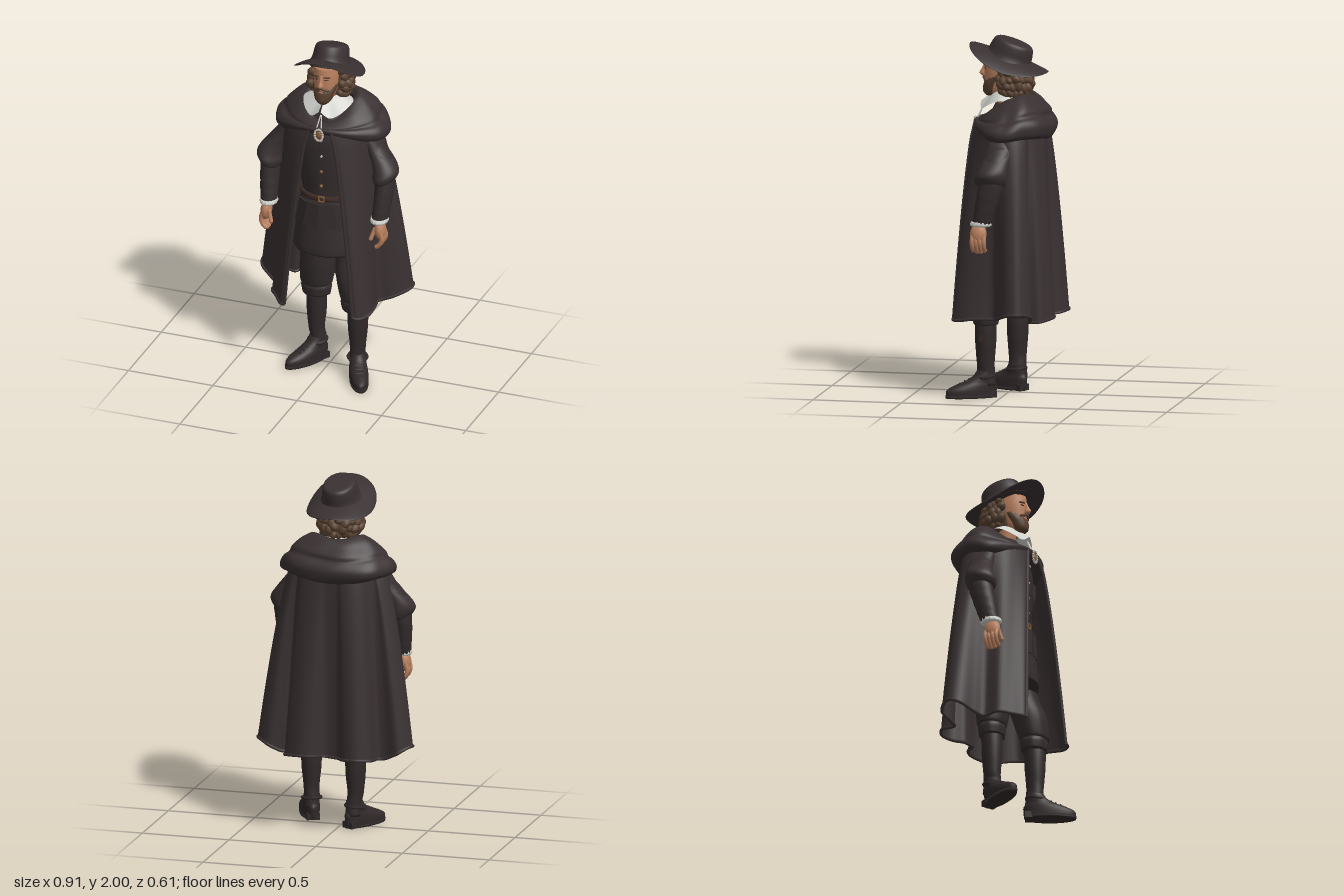
import * as THREE from 'three';
import { mergeVertices } from 'three/addons/utils/BufferGeometryUtils.js';

const make = (name, color) => {
  const m = new THREE.MeshStandardMaterial({ color });
  m.name = name;
  return m;
};

export function createModel() {
  const root = new THREE.Group();
  const cloakMat = make('darkWool', 0x393031);
  cloakMat.side = THREE.DoubleSide;
  const suit = make('darkSuit', 0x352d2d);
  const leather = make('bootLeather', 0x312929);
  const skin = make('skin', 0xb9805e);
  const hairMat = make('brownHair', 0x584130);
  const linen = make('whiteLinen', 0xd2d2cd);
  linen.side = THREE.DoubleSide;
  const beltMat = make('beltLeather', 0x3a2a24);
  const bronze = make('bronze', 0x8a6038);
  const silver = make('silver', 0xb5aea4);

  const add = (name, geo, mat, p = [0, 0, 0], r = [0, 0, 0], s = [1, 1, 1], parent = root) => {
    const m = new THREE.Mesh(geo, mat);
    m.name = name;
    m.position.set(...p);
    m.rotation.set(...r);
    m.scale.set(...s);
    parent.add(m);
    return m;
  };

  // Smooth surface over a (u, v) grid; u runs around, v runs upward
  const grid = (fn, nu, nv) => {
    const pos = [], idx = [];
    for (let j = 0; j <= nv; j++) for (let i = 0; i <= nu; i++) pos.push(...fn(i / nu, j / nv));
    for (let j = 0; j < nv; j++) for (let i = 0; i < nu; i++) {
      const a = j * (nu + 1) + i, b = a + 1, c = a + nu + 1, d = c + 1;
      idx.push(a, b, d, a, d, c);
    }
    let g = new THREE.BufferGeometry();
    g.setAttribute('position', new THREE.Float32BufferAttribute(pos, 3));
    g.setIndex(idx);
    g = mergeVertices(g, 1e-5);
    g.computeVertexNormals();
    return g;
  };

  // Closed loft through horizontal ellipses [y, x, z, rx, rz], listed bottom to top
  const loft = (rows, nu = 28, nv = rows.length * 4, wobble = () => 0) => {
    const spline = (f) => new THREE.CatmullRomCurve3(rows.map(f), false, 'catmullrom');
    const mid = spline((r) => new THREE.Vector3(r[1], r[0], r[2]));
    const rad = spline((r) => new THREE.Vector3(r[3], r[4], 0));
    return grid((u, v) => {
      const t = THREE.MathUtils.clamp((v * (nv + 2) - 1) / nv, 0, 1);
      const c = mid.getPoint(t), q = rad.getPoint(t), a = u * Math.PI * 2;
      const k = v === 0 || v === 1 ? 0 : 1 + wobble(a, t);
      return [c.x + q.x * k * Math.sin(a), c.y, c.z + q.y * k * Math.cos(a)];
    }, nu, nv + 2);
  };
  const ball = (r) => new THREE.SphereGeometry(r, 14, 10);

  // Cloak: hem outline blended up into a shoulder ellipse
  const hem = [[.235, .262], [.265, .258], [.305, .19], [.305, .09], [.30, .02], [.37, -.02], [.435, -.08], [.435, -.15],
    [.37, -.2], [.30, -.18], [.265, -.17], [.255, -.235], [.18, -.283], [.09, -.27], [.03, -.215], [-.04, -.22],
    [-.09, -.283], [-.17, -.302], [-.24, -.265], [-.258, -.175], [-.31, -.17], [-.38, -.19], [-.442, -.13],
    [-.42, -.06], [-.35, -.01], [-.295, .03], [-.30, .11], [-.25, .17], [-.205, .228], [-.18, .232]];
  const hemCurve = new THREE.CatmullRomCurve3(hem.map(([x, z]) => new THREE.Vector3(x, 0, z)));
  const topCurve = new THREE.CatmullRomCurve3(hem.map(([x, z]) => {
    let a = Math.atan2(x / .45, z / .28);
    a = Math.sign(a) * (Math.PI - (Math.PI - Math.abs(a)) * 1.09);
    return new THREE.Vector3(.262 * Math.sin(a), 0, -.015 + .195 * Math.cos(a));
  }));
  const cloakPoint = (u, v) => {
    const h = hemCurve.getPoint(u), t = topCurve.getPoint(u);
    const s = 1 - v, k = Math.pow(s, .68), edge = Math.sin(Math.PI * u);
    const ripple = 1 + .012 * Math.sin(u * 90) * s * edge;
    const y0 = .445 + .06 * Math.max(0, Math.abs(h.x) - .3) / .14 - .008 * Math.sin(u * 40);
    return [(t.x + (h.x - t.x) * k) * ripple, y0 + (1.53 - y0) * v, (t.z + (h.z - t.z) * k) * ripple];
  };
  add('cloak', grid(cloakPoint, 150, 26), cloakMat);
  const border = (name, f, n) => {
    const pts = Array.from({ length: n + 1 }, (_, i) => new THREE.Vector3(...f(i / n)));
    add(name, new THREE.TubeGeometry(new THREE.CatmullRomCurve3(pts), n * 2, .009, 6), cloakMat);
  };
  border('cloakHem', (t) => cloakPoint(t, 0), 90);
  border('cloakLeftEdge', (t) => cloakPoint(0, t), 12);
  border('cloakRightEdge', (t) => cloakPoint(1, t), 12);

  // Shoulder cape: sloping folds, high at the back and dipping to a V at the front
  const cape = new THREE.CatmullRomCurve3([[.22, 1.475], [.285, 1.45], [.322, 1.468], [.328, 1.503], [.305, 1.54],
    [.276, 1.56], [.264, 1.585], [.228, 1.622], [.185, 1.655], [.14, 1.672], [.11, 1.645]]
    .map(([r, y]) => new THREE.Vector3(r, y, 0)));
  add('shoulderCape', grid((u, v) => {
    const p = cape.getPoint(v), a = u * Math.PI * 2, f = Math.max(0, Math.cos(a)) ** 2, b = Math.max(0, -Math.cos(a));
    const fold = 1 + (.022 * Math.sin(5 * a + v * 5) + .012 * Math.sin(9 * a - v * 7)) * (1 - f)
      + b * (.015 * Math.sin(v * 24 + a * 2) + .05 * Math.sin(Math.PI * v));
    const y = p.y - f * .155 * Math.max(0, v - .25) / .75 + .05 * f * f * (1 - v) + .01 * Math.sin(3 * a + 1) * (1 - f)
      + b * (.022 * Math.sin(Math.PI * v) - .015 * (1 - v));
    return [.008 + p.x * fold * Math.sin(a), y, -.038 + p.x * fold * .67 * Math.cos(a) + .07 * f * v * v];
  }, 84, 40), cloakMat);

  // Doublet, skirt and belt
  add('doublet', loft([[1.04, 0, .01, .16, .13], [1.1, 0, .01, .152, .125], [1.25, 0, .01, .175, .138],
    [1.42, 0, 0, .2, .145], [1.53, 0, -.01, .17, .125], [1.62, 0, 0, .08, .075]], 36), suit);
  add('doubletSkirt', loft([[.745, .005, .02, .2, .165], [.8, .005, .02, .198, .163], [.95, .005, .015, .18, .148],
    [1.08, 0, .01, .157, .132]], 48, 12, (a, t) => .015 * Math.sin(a * 8) * (1 - t)), suit);
  add('frontPlacket', new THREE.BoxGeometry(.012, .4, .008), suit, [0, 1.3, .148], [.03, 0, 0]);
  add('belt', loft([[1.068, 0, .01, .164, .137], [1.098, 0, .01, .162, .135]], 36, 2), beltMat);
  add('beltBuckle', new THREE.TorusGeometry(.021, .006, 6, 4), bronze, [.008, 1.085, .15], [0, 0, Math.PI / 4]);
  for (const [x, w] of [[-.115, .07], [-.045, .085], [.05, .085], [.12, .07]])
    add('doubletTab', new THREE.BoxGeometry(w, .15, .01), suit,
      [x, .985, .022 + .142 * Math.sqrt(1 - (x / .185) ** 2)], [-.06, x * 4.5, x * 2]);
  for (const y of [1.45, 1.35, 1.255, 1.165])
    add('doubletButton', ball(.0095), y > 1.3 ? silver : bronze, [.006, y, y > 1.4 ? .152 : .147]);

  // Cloak clasp with beaded rim
  add('claspStone', ball(.017), bronze, [.006, 1.5, .186], [0, 0, 0], [1, 1.3, .5]);
  for (let i = 0; i < 14; i++) {
    const a = i / 14 * Math.PI * 2;
    add('claspBead', ball(.0075), silver, [.006 + .024 * Math.sin(a), 1.5 + .034 * Math.cos(a), .188]);
  }
  for (const s of [-1, 1])
    add('collarTie', new THREE.CapsuleGeometry(.004, .07, 3, 6), linen, [.003 + s * .008, 1.57, .158], [-.45, 0, s * .15]);

  // Legs and boots: [side, x, z, toe-out angle]
  for (const [s, x, z, turn] of [[1, .19, .088, .46], [-1, -.09, -.03, -.52]]) {
    const side = s > 0 ? 'left' : 'right';
    add(side + 'Breeches', loft([[.41, x, z, .078, .068], [.455, x, z, .086, .075], [.475, x, z, .08, .072],
      [.49, x, z, .092, .082], [.6, x * .9, z * .8, .1, .096], [.72, x * .72 + .01 * s, z * .4, .096, .092],
      [.85, x * .5 + .03 * s, z * .25, .09, .09]], 30, 28, (a, t) => .025 * Math.sin(a * 9) * (1 - t)), suit);
    const ax = x + .008, bx = x + (s > 0 ? .01 : 0);
    add(side + 'BootShaft', loft([[.07, ax, z - .005, .043, .052], [.14, ax, z - .002, .042, .05], [.2, bx, z, .045, .05],
      [.3, bx, z, .055, .058], [.38, bx, z, .058, .06], [.44, bx, z, .056, .058]], 24, 24,
      (a, t) => .012 * Math.sin(t * 30 + a * 2) * (1 - t)), leather);
    const foot = new THREE.Group();
    foot.name = side + 'Foot';
    foot.position.set(ax, 0, z);
    foot.rotation.y = turn;
    root.add(foot);
    const put = (n, g, m, p, r) => add(n, g, m, p, r, [1, 1, 1], foot);
    put('sole', loft([[.001, 0, .085, .051, .143], [.018, 0, .085, .053, .146]], 28, 2), leather);
    put('bootFoot', loft([[.015, 0, .083, .052, .144], [.045, 0, .08, .053, .143], [.07, 0, .058, .051, .122],
      [.092, 0, .033, .047, .088], [.12, 0, .01, .046, .062], [.15, 0, 0, .043, .05]], 28), leather);
    put('heel', new THREE.BoxGeometry(.074, .035, .06), leather, [0, .0185, -.024]);
    put('ankleStrap', new THREE.TorusGeometry(.052, .009, 6, 24), leather, [0, .118, .004], [Math.PI / 2 + .15, 0, 0]);
    for (let i = 0; i < 4; i++)
      put('bootLace', new THREE.CapsuleGeometry(.005, .04, 3, 6), leather, [0, .116 - i * .012, .064 + i * .026], [0, 0, Math.PI / 2]);
    if (s > 0) add('garterPatch', new THREE.BoxGeometry(.008, .035, .022), beltMat, [bx + .054, .335, z + .014]);
  }

  // Arms, cuffs and hands
  for (const s of [-1, 1]) {
    const side = s > 0 ? 'left' : 'right';
    add(side + 'Sleeve', loft([[.99, s * .328, .082, .046, .054], [1.08, s * .335, .06, .05, .062],
      [1.2, s * .338, .03, .055, .07], [1.32, s * .322, .01, .058, .07], [1.42, s * .25, -.01, .055, .07]],
      26, 24, (a, t) => .02 * Math.sin(t * 45 + a * 2)), suit);
    // Flared cape sleeve, its lower edge rising toward the outside
    const capeSleeve = loft([[1.2, s * .338, .035, .045, .055], [1.19, s * .34, .034, .055, .076],
      [1.225, s * .342, .032, .072, .09], [1.27, s * .338, .022, .068, .086], [1.33, s * .312, .008, .06, .078],
      [1.39, s * .272, -.005, .052, .075], [1.46, s * .235, -.01, .045, .075]], 30, 28,
      (a, t) => .035 * Math.sin(a * 4 + t * 6) * (1 - t));
    const p = capeSleeve.attributes.position;
    for (let i = 0; i < p.count; i++)
      p.setY(i, p.getY(i) + Math.max(0, Math.abs(p.getX(i)) - .3) * .38 * Math.max(0, 1 - (p.getY(i) - 1.19) / .2));
    capeSleeve.computeVertexNormals();
    add(side + 'CapeSleeve', capeSleeve, cloakMat);
    add(side + 'Cuff', loft([[.978, s * .328, .088, .044, .054], [.988, s * .328, .087, .049, .06],
      [1.004, s * .328, .084, .047, .056]], 48, 8, (a) => .04 * Math.sin(a * 14)), linen);
    add(side + 'Palm', ball(1), skin, [s * .338, .935, .1], [0, 0, s * .1], [.031, .058, .047]);
    for (let i = 0; i < 4; i++) {
      const z = .066 + i * .022, tip = .842 - (i % 3 ? .008 : 0);
      add(side + 'Finger', new THREE.TubeGeometry(new THREE.CatmullRomCurve3([[.348, .93], [.358, .89], [.346, .858],
        [.328, tip]].map(([fx, fy]) => new THREE.Vector3(s * fx, fy, z))), 10, .0125, 8), skin);
      add(side + 'Fingertip', ball(.0125), skin, [s * .328, tip, z]);
    }
    add(side + 'Thumb', new THREE.CapsuleGeometry(.012, .06, 4, 8), skin, [s * .304, .915, .13], [-.25, 0, -s * .3]);
  }

  // Neck and pointed linen collar
  add('neck', loft([[1.6, 0, .01, .05, .05], [1.73, 0, .03, .05, .055]], 20, 4), skin);
  add('collar', grid((u, v) => {
    const a = .04 + u * (Math.PI * 2 - .08), f = Math.max(0, Math.cos(a)), k = 1 - v;
    const drop = .05 + .055 * f * f * Math.min(1, Math.abs(Math.sin(a)) * 2.4);
    return [(.06 + .083 * k) * Math.sin(a), 1.7 - drop * Math.pow(k, 1.1) - .018 * f,
      .022 + (.06 + (.045 + .03 * f) * k) * Math.cos(a)];
  }, 56, 8), linen);

  // Head and face
  add('head', loft([[1.67, 0, .075, .035, .045], [1.7, 0, .065, .052, .065], [1.76, 0, .05, .066, .085],
    [1.82, 0, .04, .072, .096], [1.88, 0, .03, .07, .1]], 28), skin);
  add('nose', loft([[1.772, 0, .135, .015, .022], [1.785, 0, .14, .016, .026], [1.81, 0, .133, .01, .02],
    [1.842, 0, .125, .008, .014]], 14), skin);
  add('beard', loft([[1.66, 0, .1, .024, .027], [1.682, 0, .098, .044, .047], [1.72, 0, .088, .058, .055],
    [1.745, 0, .075, .065, .058], [1.772, 0, .058, .071, .05]], 28, 18, (a, t) => .03 * Math.sin(a * 11 + t * 5)), hairMat);
  add('lowerLip', ball(.012), skin, [0, 1.738, .138], [0, 0, 0], [1.1, .3, .4]);
  for (const s of [-1, 1]) {
    add('moustache', new THREE.CapsuleGeometry(.008, .034, 4, 8), hairMat, [s * .022, 1.757, .133], [0, s * .5, s * 1.2]);
    add('eye', ball(.011), suit, [s * .029, 1.816, .127], [0, s * .35, 0], [1.1, .4, .35]);
    add('eyebrow', new THREE.CapsuleGeometry(.006, .028, 3, 6), hairMat, [s * .031, 1.832, .127], [0, s * .4, Math.PI / 2 - s * .12]);
  }

  // Curly hair
  add('hair', loft([[1.68, 0, -.025, .085, .075], [1.73, 0, -.025, .105, .088], [1.8, 0, -.02, .098, .095],
    [1.86, 0, -.015, .085, .1]], 32, 16, (a, t) => .04 * Math.sin(a * 10 + t * 9)), hairMat);
  let seed = 7;
  const rnd = () => (seed = (seed * 16807) % 2147483647) / 2147483647;
  for (let j = 0; j < 5; j++) for (let i = 0; i < 13; i++) {
    const a = .95 + (i + (j % 2) * .5) / 13 * 4.4, r = .022 + rnd() * .008;
    const w = [.092, .112, .11, .098, .088][j];
    add('curl', new THREE.SphereGeometry(r, 10, 8), hairMat,
      [w * Math.sin(a), 1.69 + j * .035 + (rnd() - .5) * .02, -.018 + w * .88 * Math.cos(a)],
      [rnd(), rnd(), rnd()], [1, 1.3, .9]);
  }

  // Wide-brimmed hat, tipped back, crown flowing into the brim
  const hat = new THREE.Group();
  hat.name = 'hat';
  hat.position.set(.004, 1.864, .002);
  hat.rotation.x = -.34;
  root.add(hat);
  add('brim', grid((u, v) => {
    const a = u * Math.PI * 2, r = 1 - .55 * Math.abs(2 * v - 1) ** 2, sn = Math.sin(a), cs = Math.cos(a);
    const round = 1 + .035 * Math.sin(2 * a) ** 2;
    return [.188 * r * sn * round, (v - .5) * .03 - .058 * sn * sn * r * r + .012, .232 * r * cs * round];
  }, 64, 20), cloakMat, [0, 0, 0], [0, 0, 0], [1, 1, 1], hat);
  add('crown', loft([[-.015, 0, 0, .122, .15], [.012, 0, 0, .108, .133], [.035, 0, 0, .1, .125], [.065, 0, 0, .096, .12],
    [.092, 0, 0, .09, .112], [.105, 0, 0, .08, .1], [.11, 0, 0, .062, .082]], 40), cloakMat,
    [0, 0, 0], [0, 0, 0], [1, 1, 1], hat);
  return root;
}
